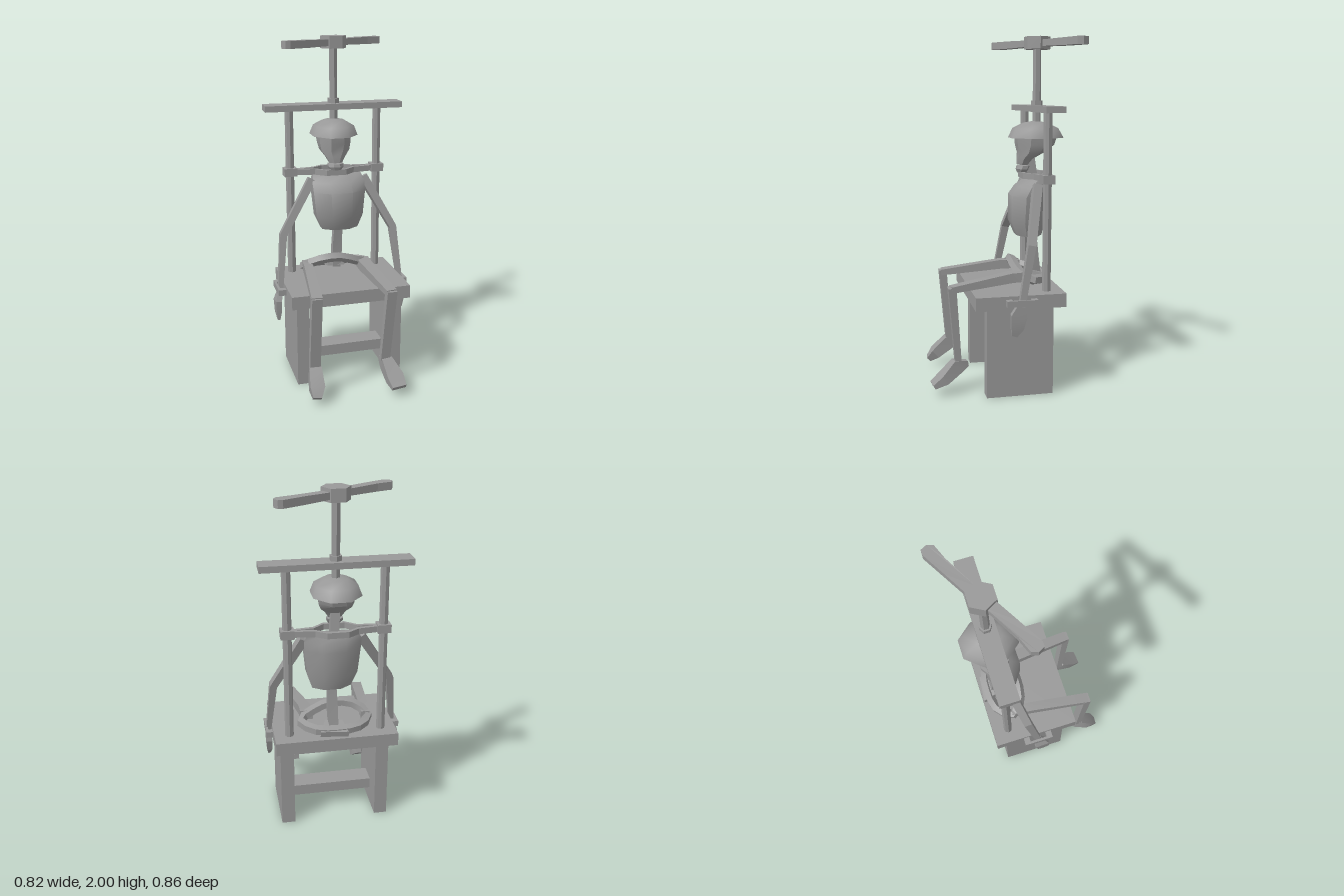
import * as THREE from 'three';
import { toCreasedNormals } from 'three/addons/utils/BufferGeometryUtils.js';

const grey = new THREE.MeshStandardMaterial({ color: 0x999999 });
grey.name = 'plain grey';
const V = (x, y, z) => new THREE.Vector3(x, y, z);

// Skin a row of rings (counter-clockwise about the direction of travel) and cap both ends
function loft(rings, crease) {
  const pos = [], n = rings[0].length;
  const tri = (a, b, c) => pos.push(...a.toArray(), ...b.toArray(), ...c.toArray());
  for (let i = 0; i < rings.length - 1; i++) {
    const A = rings[i], B = rings[i + 1];
    for (let j = 0; j < n; j++) {
      const k = (j + 1) % n;
      tri(A[j], A[k], B[k]);
      tri(A[j], B[k], B[j]);
    }
  }
  const end = rings[rings.length - 1];
  for (let j = 1; j < n - 1; j++) {
    tri(rings[0][0], rings[0][j + 1], rings[0][j]);
    tri(end[0], end[j], end[j + 1]);
  }
  const geo = new THREE.BufferGeometry();
  geo.setAttribute('position', new THREE.Float32BufferAttribute(pos, 3));
  return toCreasedNormals(geo, crease);
}

// Four-sided bone along stations [x, y, z, width across, thickness]
function bone(stations) {
  const p = stations.map(s => V(s[0], s[1], s[2]));
  return loft(stations.map(([, , , w, h], i) => {
    const t = p[Math.min(i + 1, p.length - 1)].clone().sub(p[Math.max(i - 1, 0)]).normalize();
    const side = V(1, 0, 0).addScaledVector(t, -t.x).normalize();
    const up = t.clone().cross(side);
    return [[1, -1], [1, 1], [-1, 1], [-1, -1]].map(([a, b]) =>
      p[i].clone().addScaledVector(side, a * w / 2).addScaledVector(up, b * h / 2));
  }), 0.3);
}

// Body from level sections [y, centre x, half width, front z, back z]
function body(sections, sides, crease) {
  return loft(sections.map(([y, cx, rx, zf, zb]) => Array.from({ length: sides }, (_, j) => {
    const a = (j + 0.5) / sides * Math.PI * 2;
    const k = 1 / Math.cos(Math.PI / sides);
    return V(cx + Math.cos(a) * rx * k, y, (zf + zb) / 2 - Math.sin(a) * (zf - zb) / 2 * k);
  })), crease);
}

export function createModel() {
  const group = new THREE.Group();
  const add = (name, geo) => {
    const mesh = new THREE.Mesh(geo, grey);
    mesh.name = name;
    group.add(mesh);
    return mesh;
  };
  const box = (name, x0, x1, y0, y1, z0, z1) =>
    add(name, new THREE.BoxGeometry(x1 - x0, y1 - y0, z1 - z0))
      .position.set((x0 + x1) / 2, (y0 + y1) / 2, (z0 + z1) / 2);
  const rod = (name, x, z, r, y0, y1, sides) => {
    const geo = toCreasedNormals(new THREE.CylinderGeometry(r, r, y1 - y0, sides), 0.3);
    const mesh = add(name, geo);
    mesh.position.set(x, (y0 + y1) / 2, z);
    return mesh;
  };

  // Bench
  box('benchTop', -0.35, 0.357, 0.51, 0.587, -0.315, 0.195);
  box('benchLegRight', -0.31, -0.235, 0, 0.51, -0.25, 0.13);
  box('benchLegLeft', 0.25, 0.328, 0, 0.51, -0.25, 0.13);
  box('benchStretcher', -0.235, 0.25, 0.1, 0.165, -0.12, 0);

  // Upright frame with clamps
  for (const [side, x] of [['Right', -0.264], ['Left', 0.27]]) {
    rod('post' + side, x, -0.222, 0.025, 0.587, 1.58, 8);
    box('clamp' + side, x - 0.038, x + 0.038, 1.192, 1.24, -0.256, -0.188);
  }
  box('crossBeam', -0.41, 0.414, 1.58, 1.615, -0.281, -0.173);

  // Press screw, collar and handle
  const hx = 0.005, hz = -0.227;
  rod('screw', hx, hz, 0.024, 1.5, 1.94, 6);
  rod('screwCollar', hx, hz, 0.034, 1.61, 1.643, 6);
  rod('handleHub', hx, hz, 0.078, 1.93, 2, 6).rotation.y = Math.PI / 6;
  const outline = [[0.03, 0.055], [0.06, 0.005], [0.24, 0.103], [0.323, 0.135],
    [0.335, 0.168], [0.317, 0.201], [0.291, 0.201], [0.165, 0.13]];
  const shape = new THREE.Shape(outline.map(([x, y]) => new THREE.Vector2(x, y)));
  for (const turn of [0, Math.PI]) {
    const geo = new THREE.ExtrudeGeometry(shape, { depth: 0.042, bevelEnabled: false });
    geo.rotateX(-Math.PI / 2);
    // The grip thins toward the hub
    const p = geo.attributes.position;
    for (let i = 0; i < p.count; i++) {
      const thin = p.getX(i) < 0.1 ? 0.85 : 1;
      p.setY(i, (p.getY(i) - 0.021) * thin);
    }
    geo.computeVertexNormals();
    const arm = add('handleArm', geo);
    arm.position.set(hx, 1.963, hz);
    arm.rotation.y = turn;
  }

  // Neck band, bowed to the front and to the back
  for (const [name, bow] of [['neckBandFront', 0.085], ['neckBandBack', -0.068]]) {
    const path = [[-0.24, 0.1], [-0.12, 0.3], [-0.06, 0.9], [0.06, 0.9], [0.12, 0.3], [0.25, 0.1]];
    add(name, loft(path.map(([x, k]) => {
      const z = -0.222 + bow * k;
      return [[1, 1], [-1, 1], [-1, -1], [1, -1]].map(([a, b]) => V(x, 1.214 + a * 0.017, z + b * 0.011));
    }), 0.3));
  }

  // Domed cap
  add('cap', body([
    [1.43, 0.003, 0.132, -0.07, -0.375], [1.485, 0.003, 0.112, -0.095, -0.345],
    [1.515, 0.003, 0.062, -0.15, -0.285], [1.525, 0.003, 0.012, -0.2, -0.24]], 8, 1));

  // Skull and jaw
  add('skull', body([
    [1.275, -0.003, 0.038, -0.115, -0.185], [1.31, -0.003, 0.058, -0.115, -0.205],
    [1.345, 0, 0.085, -0.12, -0.265], [1.39, 0.002, 0.093, -0.108, -0.325],
    [1.44, 0.002, 0.096, -0.105, -0.34]], 8, 0.6));
  add('jaw', body([
    [1.232, -0.003, 0.03, -0.115, -0.165], [1.25, -0.003, 0.045, -0.11, -0.185],
    [1.268, -0.003, 0.045, -0.115, -0.195]], 8, 0.5));
  add('neck', bone([[0.01, 1.17, -0.21, 0.05, 0.045], [0.003, 1.31, -0.19, 0.05, 0.045]]));

  // Rib cage and spine
  add('ribCage', body([
    [0.868, 0.022, 0.11, -0.1, -0.245], [0.95, 0.017, 0.143, -0.068, -0.262],
    [1.1, 0.017, 0.158, -0.07, -0.27], [1.155, 0.017, 0.16, -0.11, -0.265],
    [1.2, 0.017, 0.145, -0.18, -0.245]], 8, 0.8));
  add('spine', bone([[0.015, 0.6, -0.225, 0.05, 0.06], [0.02, 0.73, -0.215, 0.06, 0.04],
    [0.022, 0.88, -0.2, 0.05, 0.04]]));

  // Pelvis: a ring of bone, raised at the front
  const ring = [[0, 0.705, -0.085], [0.12, 0.665, -0.1], [0.195, 0.635, -0.15], [0.13, 0.625, -0.25],
    [0, 0.62, -0.27], [-0.13, 0.625, -0.25], [-0.2, 0.64, -0.16], [-0.13, 0.69, -0.1]];
  const curve = new THREE.CatmullRomCurve3(ring.map(p => V(...p)), true);
  add('pelvis', toCreasedNormals(new THREE.TubeGeometry(curve, 16, 0.03, 5, true), 0.4));
  add('sacrum', bone([[0.02, 0.61, -0.3, 0.16, 0.035], [0.01, 0.63, -0.2, 0.1, 0.045]]));

  // Legs
  add('thighRight', bone([[-0.185, 0.645, -0.17, 0.05, 0.05], [-0.195, 0.645, -0.05, 0.055, 0.055],
    [-0.232, 0.603, 0.31, 0.062, 0.035]]));
  add('shinRight', bone([[-0.232, 0.615, 0.3, 0.06, 0.045], [-0.24, 0.17, 0.265, 0.062, 0.035]]));
  add('footRight', bone([[-0.235, 0.165, 0.21, 0.035, 0.03], [-0.24, 0.15, 0.27, 0.07, 0.08],
    [-0.247, 0.085, 0.35, 0.085, 0.06], [-0.255, 0.045, 0.39, 0.05, 0.03]]));
  add('thighLeft', bone([[0.155, 0.65, -0.12, 0.075, 0.055], [0.155, 0.645, -0.04, 0.072, 0.055],
    [0.203, 0.603, 0.31, 0.06, 0.035]]));
  add('shinLeft', bone([[0.203, 0.615, 0.305, 0.058, 0.045], [0.18, 0.17, 0.27, 0.055, 0.035]]));
  add('footLeft', bone([[0.177, 0.16, 0.215, 0.035, 0.03], [0.188, 0.15, 0.28, 0.065, 0.08],
    [0.214, 0.09, 0.36, 0.1, 0.055], [0.222, 0.058, 0.42, 0.085, 0.025]]));

  // Arms, hands and wrist shackles
  const arms = { Right: [-1, 0.14, 0.335, 0.37, 0.39], Left: [1, 0.175, 0.345, 0.377, 0.373] };
  for (const [side, [s, shoulder, elbow, wrist, tip]] of Object.entries(arms)) {
    add('arm' + side, bone([[s * shoulder, 1.17, -0.19, 0.05, 0.05], [s * elbow, 0.86, -0.115, 0.042, 0.045],
      [s * wrist, 0.53, -0.055, 0.028, 0.035]]));
    add('hand' + side, bone([[s * wrist, 0.55, -0.055, 0.025, 0.035], [s * tip, 0.48, -0.04, 0.035, 0.09],
      [s * tip, 0.41, -0.03, 0.03, 0.07], [s * tip, 0.365, -0.015, 0.012, 0.03]]));
    const span = (a, b) => s > 0 ? [a, b] : [-b, -a];
    box('shackleBar' + side, ...span(0.381, 0.395), 0.535, 0.57, -0.13, 0.015);
    box('shackleFrontLug' + side, ...span(0.345, 0.395), 0.535, 0.57, -0.005, 0.03);
    box('shackleBackLug' + side, ...span(0.345, 0.395), 0.535, 0.57, -0.145, -0.11);
  }
  return group;
}
